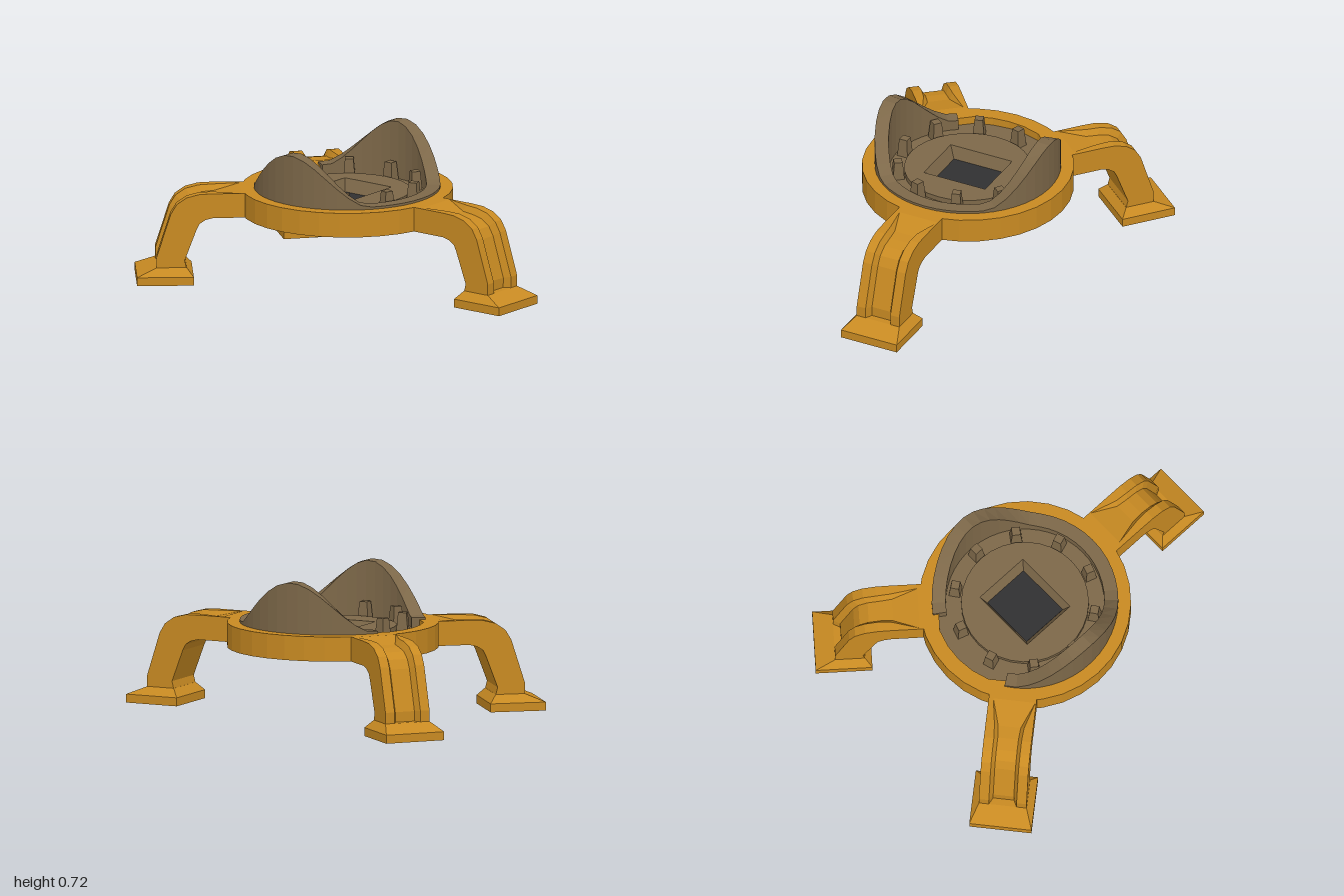
import * as THREE from 'three';

const CX = -0.085; // ring centre
const V = (x, y, z) => new THREE.Vector3(x, y, z);

// Flat-faced skin over a list of cross-section loops
function loft(loops, closed = false) {
  const pos = [];
  const tri = (a, b, c) => pos.push(...a.toArray(), ...b.toArray(), ...c.toArray());
  const n = loops[0].length;
  const last = closed ? loops.length : loops.length - 1;
  for (let i = 0; i < last; i++) {
    const A = loops[i], B = loops[(i + 1) % loops.length];
    for (let j = 0; j < n; j++) {
      const k = (j + 1) % n;
      tri(A[j], A[k], B[k]);
      tri(A[j], B[k], B[j]);
    }
  }
  if (!closed) {
    const S = loops[0], E = loops[loops.length - 1];
    for (let j = 1; j < n - 1; j++) {
      tri(S[0], S[j + 1], S[j]);
      tri(E[0], E[j], E[j + 1]);
    }
  }
  const g = new THREE.BufferGeometry();
  g.setAttribute('position', new THREE.Float32BufferAttribute(pos, 3));
  g.computeVertexNormals();
  return g;
}

// Rectangular-section loop on a circle at angle t
const ringLoop = (t, ro, ri, y0, y1) =>
  [[ro, y0], [ro, y1], [ri, y1], [ri, y0]].map(([r, y]) => V(r * Math.cos(t), y, r * Math.sin(t)));

// Horizontal rectangle loop
const rectLoop = (x0, x1, hz, y) => [V(x0, y, hz), V(x1, y, hz), V(x1, y, -hz), V(x0, y, -hz)];

// Round plate with a rectangular opening
function holedDisc(r, hx, hz, y, h) {
  const s = new THREE.Shape().absarc(0, 0, r, 0, Math.PI * 2, false);
  const hole = new THREE.Path();
  hole.moveTo(-hx, -hz).lineTo(-hx, hz).lineTo(hx, hz).lineTo(hx, -hz).closePath();
  s.holes.push(hole);
  const g = new THREE.ExtrudeGeometry(s, { depth: h, bevelEnabled: false, curveSegments: 16 });
  g.rotateX(-Math.PI / 2);
  g.translate(0, y, 0);
  return g;
}

export function createModel() {
  const orange = new THREE.MeshStandardMaterial({ color: 0xc88a22 });
  orange.name = 'ochre frame';
  const brown = new THREE.MeshStandardMaterial({ color: 0x7d6849, side: THREE.DoubleSide });
  brown.name = 'brown dish';
  const dark = new THREE.MeshStandardMaterial({ color: 0x303032 });
  dark.name = 'dark socket';

  const model = new THREE.Group();
  model.name = 'tripodPlatform';
  const body = new THREE.Group();
  body.name = 'body';
  body.position.x = CX;
  model.add(body);
  const add = (name, geo, mat, parent = body) => {
    const m = new THREE.Mesh(geo, mat);
    m.name = name;
    parent.add(m);
    return m;
  };

  // Outer ring
  const ring = [];
  for (let i = 0; i < 32; i++) ring.push(ringLoop(i / 32 * Math.PI * 2, 0.532, 0.455, 0.34, 0.465));
  add('ring', loft(ring, true), orange);

  // Leg stations: outer u,y, inner u,y, groove depth, groove half width
  const stations = [
    [0.46, 0.465, 0.46, 0.34, 0, 0.115],
    [0.56, 0.465, 0.56, 0.34, 0, 0.115],
    [0.70, 0.465, 0.66, 0.34, 0.03, 0.075],
    [0.77, 0.462, 0.70, 0.34, 0.035, 0.07],
    [0.835, 0.445, 0.74, 0.33, 0.035, 0.07],
    [0.885, 0.41, 0.77, 0.31, 0.035, 0.07],
    [0.915, 0.36, 0.785, 0.28, 0.035, 0.07],
    [0.985, 0.14, 0.845, 0.12, 0.035, 0.07],
    [0.985, 0.08, 0.835, 0.08, 0.035, 0.07],
  ];
  const W = 0.12;
  const legGeo = loft(stations.map(([ou, oy, iu, iy, d, g]) => {
    const k = d / Math.hypot(ou - iu, oy - iy);
    const fu = ou + (iu - ou) * k, fy = oy + (iy - oy) * k, f = g - 0.018;
    return [V(iu, iy, W), V(iu, iy, -W), V(ou, oy, -W), V(ou, oy, -g),
      V(fu, fy, -f), V(fu, fy, f), V(ou, oy, g), V(ou, oy, W)];
  }));
  const footGeo = loft([
    rectLoop(0.80, 1.085, 0.157, 0),
    rectLoop(0.80, 1.085, 0.157, 0.043),
    rectLoop(0.835, 0.985, 0.12, 0.084),
  ]);
  [['leftLeg', 0, 0], ['rightFrontLeg', 140, -0.025], ['rightBackLeg', 220, -0.025]].forEach(([name, deg, shift]) => {
    const leg = new THREE.Group();
    const a = THREE.MathUtils.degToRad(deg);
    leg.name = name;
    leg.rotation.y = -a;
    leg.position.set(shift * Math.cos(a), 0, shift * Math.sin(a));
    add('strut', legGeo, orange, leg);
    add('foot', footGeo, orange, leg);
    body.add(leg);
  });

  // Dish floor in stepped plates
  const base = new THREE.CylinderGeometry(0.457, 0.457, 0.038, 32);
  base.translate(0, 0.361, 0);
  add('dishBase', base, brown);
  add('dishFloor', holedDisc(0.457, 0.148, 0.173, 0.38, 0.045), brown);
  add('raisedDisc', holedDisc(0.32, 0.148, 0.173, 0.425, 0.025), brown);

  // Sloping sides of the square socket
  const corners = (hx, hz, y) => rectLoop(-hx, hx, hz, y).reverse();
  const top = corners(0.148, 0.173, 0.45), low = corners(0.125, 0.143, 0.385);
  for (let j = 0; j < 4; j++) {
    const k = (j + 1) % 4;
    const g = new THREE.BufferGeometry().setFromPoints(
      [low[j], low[k], top[k], low[j], top[k], top[j]]);
    g.computeVertexNormals();
    add('socketSide', g, brown);
  }
  const socket = new THREE.BoxGeometry(0.25, 0.008, 0.286);
  socket.translate(0, 0.383, 0);
  add('socketFloor', socket, dark);
  const under = new THREE.CylinderGeometry(0.14, 0.14, 0.004, 8);
  under.translate(0, 0.341, 0);
  add('undersidePlug', under, dark);

  // Wall rising in two opposite crests, open on one side
  const wall = [], end = THREE.MathUtils.degToRad(146);
  for (let i = 0; i <= 40; i++) {
    const t = -end + 2 * end * i / 40;
    const x = Math.min(1, Math.abs(0.43 * Math.cos(t)) / 0.33);
    const rise = Math.pow(Math.max(0, Math.cos(x * Math.PI / 2)), 1.3);
    wall.push(ringLoop(t, 0.468, 0.398, 0.40, 0.477 + 0.245 * rise));
  }
  add('crestedWall', loft(wall), brown);

  // Ring of tapered studs
  const studGeo = new THREE.CylinderGeometry(0.03, 0.042, 0.1, 4).toNonIndexed();
  studGeo.computeVertexNormals();
  studGeo.rotateY(Math.PI / 4);
  for (let i = 0; i < 10; i++) {
    const a = (18 + 36 * i) * Math.PI / 180;
    const stud = add('stud', studGeo, brown);
    stud.position.set(0.355 * Math.cos(a), 0.47, 0.355 * Math.sin(a));
    stud.rotation.y = -a;
  }
  return model;
}
